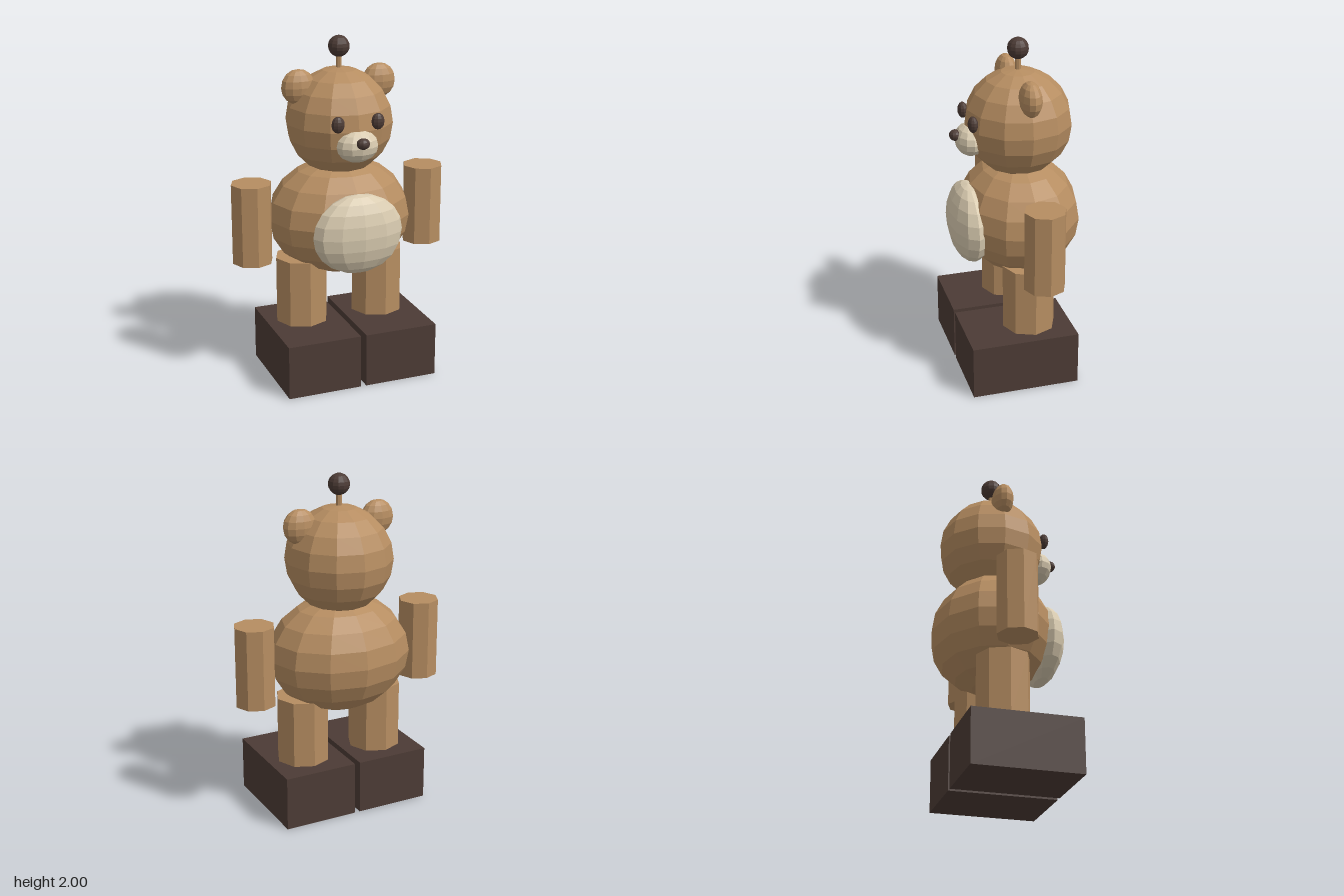
import * as THREE from 'three';

const material = (name, color) => {
  const m = new THREE.MeshStandardMaterial({ color, flatShading: true });
  m.name = name;
  return m;
};

export function createModel() {
  const bear = new THREE.Group();
  bear.name = 'toyBear';
  const fur = material('brownFur', 0xb68d61);
  const cream = material('creamFur', 0xd9cbb0);
  const dark = material('darkBrown', 0x4c3b35);
  const axisZ = -0.033; // depth of the body's centre line

  const add = (name, geometry, mat, x, y, z) => {
    const mesh = new THREE.Mesh(geometry, mat);
    mesh.name = name;
    mesh.position.set(x, y, z);
    bear.add(mesh);
    return mesh;
  };
  // Low-poly ellipsoid with the given radii
  const blob = (name, mat, [x, y, z], [rx, ry, rz], segments = 12, rows = 10) =>
    add(name, new THREE.SphereGeometry(1, segments, rows).scale(rx, ry, rz), mat, x, y, z);

  // Torso and head
  blob('body', fur, [0, 0.945, axisZ], [0.427, 0.345, 0.353]);
  blob('belly', cream, [0, 0.915, 0.267], [0.272, 0.235, 0.118]);
  blob('head', fur, [0, 1.508, axisZ], [0.312, 0.312, 0.312]);

  // Face
  blob('muzzle', cream, [0, 1.427, 0.25], [0.124, 0.093, 0.087], 12, 8);
  blob('nose', dark, [0, 1.46, 0.336], [0.039, 0.032, 0.033], 10, 8);

  // Antenna
  add('antennaRod', new THREE.CylinderGeometry(0.017, 0.017, 0.14, 8), fur, 0, 1.85, axisZ);
  blob('antennaBall', dark, [0, 1.938, axisZ], [0.062, 0.062, 0.062], 12, 10);

  // Paired parts
  for (const [side, s] of [['left', 1], ['right', -1]]) {
    blob(side + 'Ear', fur, [s * 0.246, 1.723, axisZ], [0.101, 0.101, 0.063], 12, 8);
    blob(side + 'Eye', dark, [s * 0.119, 1.56, 0.26], [0.039, 0.047, 0.029], 10, 8);
    add(side + 'Arm', new THREE.CylinderGeometry(0.119, 0.119, 0.473, 8), fur, s * 0.536, 0.952, axisZ);
    add(side + 'Leg', new THREE.CylinderGeometry(0.156, 0.156, 0.396, 8), fur, s * 0.238, 0.517, -0.03);
    add(side + 'Foot', new THREE.BoxGeometry(0.44, 0.319, 0.632), dark, s * 0.237, 0.1595, 0.046);
  }
  return bear;
}
